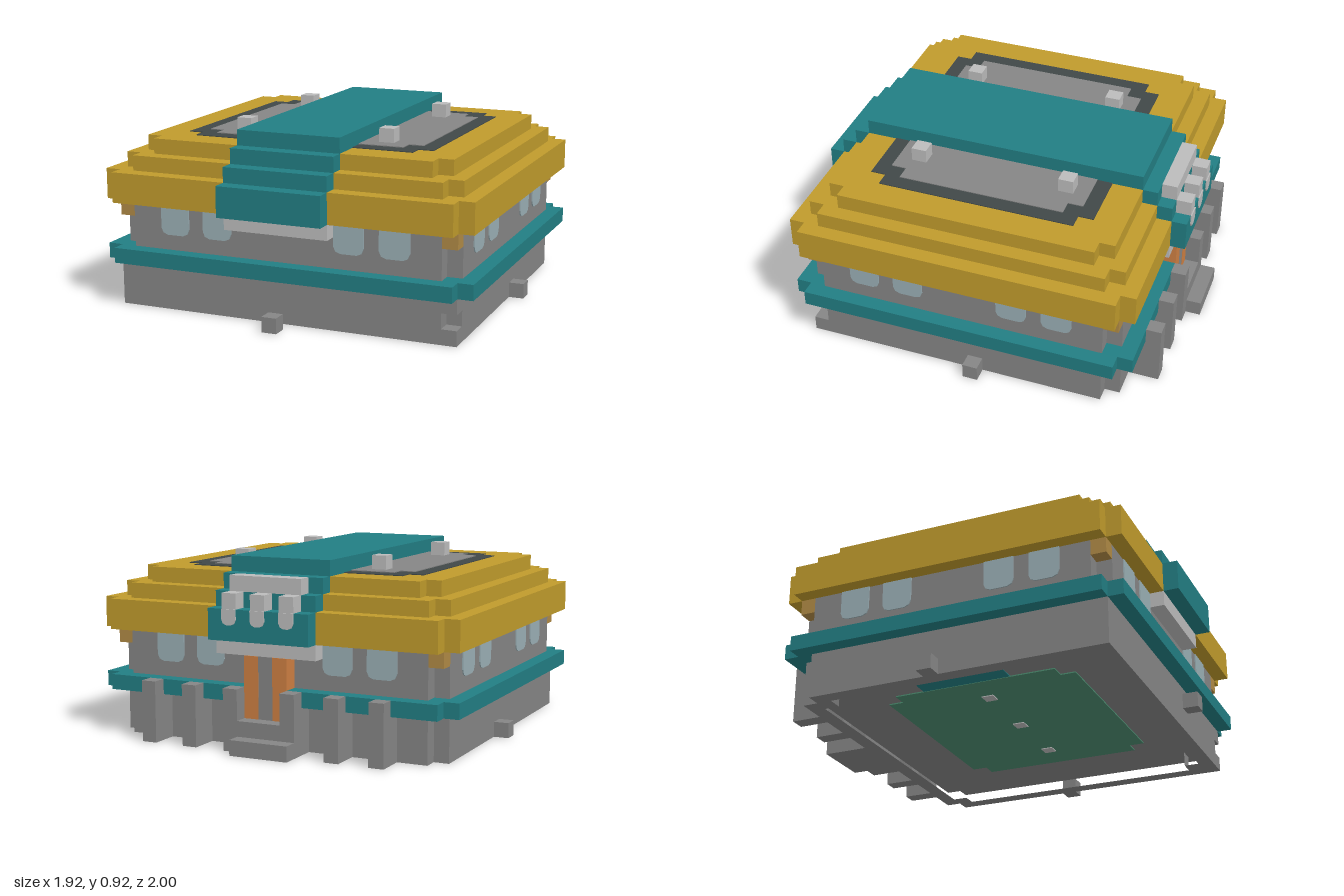
import * as THREE from 'three';

const U = 1 / 13; // one block
const mat = (name, color) => {
  const m = new THREE.MeshStandardMaterial({ color });
  m.name = name;
  return m;
};

export function createModel() {
  const gold = mat('gold', 0xc09b2c), teal = mat('teal', 0x227e83), grey = mat('grey', 0x858585);
  const light = mat('lightGrey', 0xbcbcbc), glass = mat('glass', 0x9aafb5), slate = mat('slate', 0x404848);
  const brown = mat('brown', 0xb08a45), orange = mat('orange', 0xcd7f42), green = mat('green', 0x4c8c70);
  const root = new THREE.Group();

  const add = (name, geo, material) => {
    const mesh = new THREE.Mesh(geo, material);
    mesh.name = name;
    root.add(mesh);
    return mesh;
  };
  // box from block ranges
  const box = (name, m, x0, x1, y0, y1, z0, z1) => {
    const g = new THREE.BoxGeometry((x1 - x0) * U, (y1 - y0) * U, (z1 - z0) * U);
    g.translate((x0 + x1) * U / 2, (y0 + y1) * U / 2, (z0 + z1) * U / 2);
    return add(name, g, m);
  };
  // rectangle with one-block corner notches; n = [back left-x, back right-x, front right-x, front left-x]
  const outline = (w, z0, z1, n = [1, 1, 1, 1]) => {
    const p = [];
    const corner = (x, z, on, xFirst) => {
      if (!on) return p.push([x, z]);
      const xi = x - Math.sign(x), zi = z === z0 ? z + 1 : z - 1;
      const a = [xi, z], b = [x, zi];
      p.push(...(xFirst ? [a, [xi, zi], b] : [b, [xi, zi], a]));
    };
    corner(-w, z0, n[0], false);
    corner(w, z0, n[1], true);
    corner(w, z1, n[2], false);
    corner(-w, z1, n[3], true);
    return p.map(([x, z]) => new THREE.Vector2(x * U, -z * U));
  };
  const slab = (name, m, pts, y0, y1, hole) => {
    const s = new THREE.Shape(pts);
    if (hole) s.holes.push(new THREE.Path(hole));
    const g = new THREE.ExtrudeGeometry(s, { depth: (y1 - y0) * U, bevelEnabled: false });
    g.rotateX(-Math.PI / 2);
    g.translate(0, y0 * U, 0);
    return add(name, g, m);
  };

  // hollow-bottomed base, with one block missing at a front corner
  slab('baseRim', grey, outline(11.5, -10, 11, [1, 1, 0, 0]), 0, 1, outline(10.5, -9, 10));
  slab('baseMiddle', grey, outline(11.5, -10, 11, [1, 1, 1, 0]), 1, 2);
  slab('baseTop', grey, outline(11.5, -10, 11, [1, 1, 0, 0]), 2, 3);
  slab('undersidePanel', green, outline(7.5, -6, 7), 0.92, 1);
  box('undersideTealPanel', teal, -10.4, -6.5, 0.95, 1, -3, 3);
  for (const x of [-5, 0, 5]) box('undersideLight', light, x - 0.4, x + 0.4, 0.86, 0.93, 0.1, 0.9);

  // walls, band and corner brackets
  slab('band', teal, outline(12.5, -11, 12), 3, 4);
  slab('walls', grey, outline(11.5, -10, 11), 4, 7);
  for (const x of [-11.5, 10.5])
    for (const z of [-10, 10]) box('cornerBracket', brown, x, x + 1, 6, 7, z, z + 1);

  // stepped roof
  slab('roofEave', gold, outline(12.5, -11, 12), 7, 9);
  slab('roofMiddle', gold, outline(11.5, -10, 11), 9, 10);
  slab('roofTop', gold, outline(10.5, -9, 10), 10, 11);
  slab('skylightBorder', slate, outline(8.5, -7, 8), 11, 11.05);
  slab('skylightPanel', grey, outline(7.5, -6, 7), 11, 11.1);
  for (const x of [-5.5, 4.5])
    for (const z of [-5, 5]) box('roofLamp', light, x, x + 1, 11, 12, z, z + 1);

  // stepped strip over the roof
  [[7, 9, 13], [9, 10, 12], [10, 11, 11], [11, 12, 10]].forEach(([y0, y1, z]) =>
    box('roofStrip', teal, -3.5, 3.5, y0, y1, 1 - z, z));
  box('frontLintel', light, -3.5, 3.5, 6, 7, 11, 12);
  box('backLintel', light, -3.5, 3.5, 6, 7, -11, -10);

  // plate with chamfered lower corners, hanging from y = 0
  const pane = (w, h, c) => {
    const s = new THREE.Shape([[-w / 2, 0], [-w / 2, c - h], [c * 0.3 - w / 2, c * 0.3 - h], [c - w / 2, -h],
      [w / 2 - c, -h], [w / 2 - c * 0.3, c * 0.3 - h], [w / 2, c - h], [w / 2, 0]]
      .map(([x, y]) => new THREE.Vector2(x * U, y * U)));
    return new THREE.ExtrudeGeometry(s, { depth: 0.006, bevelEnabled: false });
  };
  const place = (name, g, m, x, y, z, turn) => {
    const mesh = add(name, g, m);
    mesh.position.set(x * U, y * U, z * U);
    mesh.rotation.y = turn;
  };

  // windows on all four sides
  const windowGeo = pane(2, 2, 0.45);
  for (const x of [-7.5, -4.5, 4.5, 7.5]) {
    place('frontWindow', windowGeo, glass, x, 7, 11, 0);
    place('backWindow', windowGeo, glass, x, 7, -10, Math.PI);
  }
  for (const z of [-6, -3, 4, 7]) {
    place('sideWindow', windowGeo, glass, 11.5, 7, z, Math.PI / 2);
    place('sideWindow', windowGeo, glass, -11.5, 7, z, -Math.PI / 2);
  }

  // pronged ornament above the door
  box('ornamentBar', light, -2.5, 2.5, 10, 11, -11, -10);
  const prongGeo = pane(1, 1, 0.35);
  for (const x of [-2, 0, 2]) {
    box('ornamentProng', light, x - 0.5, x + 0.5, 9, 10, -12, -11);
    place('ornamentProngTip', prongGeo, light, x, 9, -12, Math.PI);
  }

  // back door, step and posts
  for (const x of [-1.5, 0.5]) box('doorPanel', orange, x, x + 1, 2, 6, -11.05, -10);
  box('doorRecess', grey, -0.5, 0.5, 2, 6, -11.02, -10);
  box('lowerStep', grey, -2.5, 1.5, 0, 1, -13, -12);
  box('upperStep', grey, -1.5, 1.5, 0, 2, -12, -10);
  for (const x of [-8, -5, -2, 2, 5, 8]) {
    box('post', grey, x - 0.5, x + 0.5, 0, 3, -12, -10);
    box('postTop', grey, x - 0.5, x + 0.5, 3, 4, -12, -11);
  }

  // small blocks at the front and sides
  box('frontBlock', grey, -0.5, 0.5, 0, 1, 12, 13);
  for (const x of [-12.5, 11.5]) box('sideBlock', grey, x, x + 1, 0, 1, -1, 0);

  return root;
}
